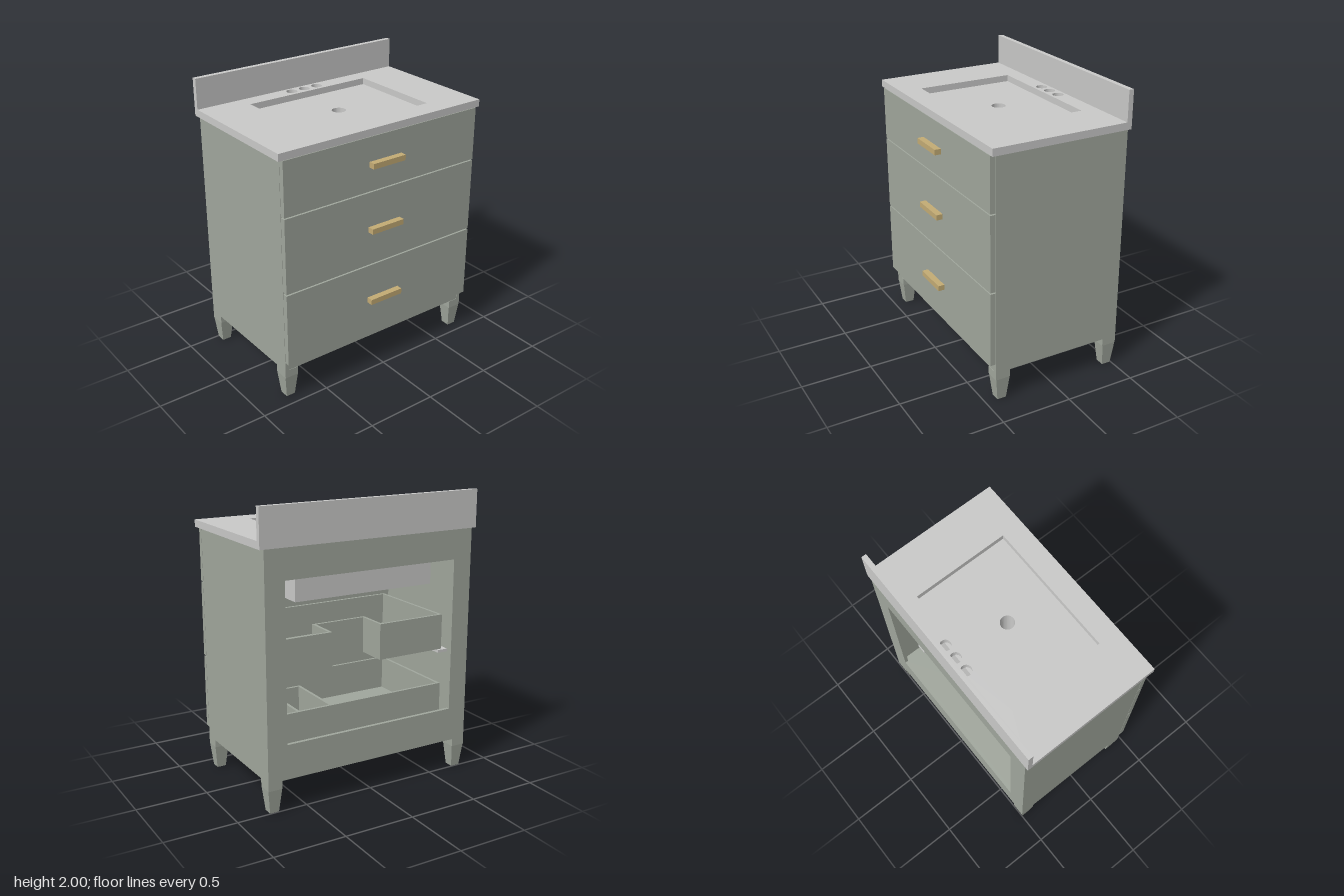
import * as THREE from 'three';

const mat = (name, color) => {
  const m = new THREE.MeshStandardMaterial({ color });
  m.name = name;
  return m;
};

export function createModel() {
  const root = new THREE.Group();
  root.name = 'vanityCabinet';
  const sage = mat('sage paint', 0xa0a69c);
  const stone = mat('grey stone', 0xc9c9c8);
  const brass = mat('brass', 0xc3ab74);

  const add = (name, geometry, material, parent = root) => {
    const mesh = new THREE.Mesh(geometry, material);
    mesh.name = name;
    parent.add(mesh);
    return mesh;
  };
  // Box given by its limits on each axis
  const box = (name, x0, x1, y0, y1, z0, z1, material = sage, parent = root) => {
    const g = new THREE.BoxGeometry(x1 - x0, y1 - y0, z1 - z0);
    g.translate((x0 + x1) / 2, (y0 + y1) / 2, (z0 + z1) / 2);
    return add(name, g, material, parent);
  };
  // Plan outlines are drawn as (x, -z) and raised along y
  const outline = (pts, Type = THREE.Shape) =>
    new Type(pts.map(([x, z]) => new THREE.Vector2(x, -z)));
  const rect = (x, z0, z1, Type) =>
    outline([[-x, z1], [x, z1], [x, z0], [-x, z0]], Type);
  const hole = (x, z, r) => new THREE.Path().absarc(x, -z, r, 0, Math.PI * 2, true);
  const slab = (name, shape, y0, y1, material, parent = root) => {
    const g = new THREE.ExtrudeGeometry(shape, {
      depth: y1 - y0, bevelEnabled: false, curveSegments: 16,
    });
    g.rotateX(-Math.PI / 2);
    g.translate(0, y0, 0);
    return add(name, g, material, parent);
  };

  // Countertop with basin opening and three tap holes
  const top = rect(0.815, -0.52, 0.475);
  top.holes.push(rect(0.478, -0.37, 0.32, THREE.Path));
  for (const x of [-0.105, 0, 0.105]) top.holes.push(hole(x, -0.43, 0.038));
  slab('countertop', top, 1.74, 1.79, stone);
  box('backsplash', -0.815, 0.815, 1.79, 2, -0.52, -0.485, stone);

  // Basin body with drain
  const basin = rect(0.523, -0.415, 0.365);
  basin.holes.push(hole(0, -0.025, 0.048));
  slab('basin', basin, 1.363, 1.745, stone);

  // Carcass
  for (const s of [-1, 1]) {
    const a = s * 0.755, b = s * 0.785;
    box('sidePanel', Math.min(a, b), Math.max(a, b), 0.22, 1.74, -0.515, 0.435);
  }
  box('bottomPanel', -0.755, 0.755, 0.22, 0.25, -0.49, 0.41);
  box('frontRail', -0.755, 0.755, 0.22, 0.285, 0.41, 0.432);

  // Back frame around the plumbing opening
  const frame = new THREE.Shape([
    new THREE.Vector2(-0.755, 0.22), new THREE.Vector2(0.755, 0.22),
    new THREE.Vector2(0.755, 1.74), new THREE.Vector2(-0.755, 1.74),
  ]);
  frame.holes.push(new THREE.Path([
    new THREE.Vector2(-0.645, 0.46), new THREE.Vector2(-0.645, 1.535),
    new THREE.Vector2(0.645, 1.535), new THREE.Vector2(0.645, 0.46),
  ]));
  const frameGeo = new THREE.ExtrudeGeometry(frame, { depth: 0.025, bevelEnabled: false });
  frameGeo.translate(0, 0, -0.515);
  add('backFrame', frameGeo, sage);

  // Drawer fronts and pulls
  for (const [y0, y1, pull] of [[0.29, 0.815, 0.553], [0.825, 1.353, 1.088], [1.362, 1.737, 1.55]]) {
    box('drawerFront', -0.785, 0.785, y0, y1, 0.438, 0.475);
    box('drawerPull', -0.131, 0.131, pull - 0.019, pull + 0.019, 0.475, 0.52, brass);
  }

  // Upper drawer box, notched at the back; t insets the outline by the wall thickness
  const notched = (t, Type) => outline([
    [-0.715 + t, 0.438 - t], [0.715 - t, 0.438 - t], [0.715 - t, -0.31 + t],
    [0.19 + t, -0.31 + t], [0.19 + t, -0.09 + t], [-0.19 - t, -0.09 + t],
    [-0.19 - t, -0.31 + t], [-0.715 + t, -0.31 + t],
  ], Type);
  const upper = new THREE.Group();
  upper.name = 'upperDrawer';
  root.add(upper);
  const upperWalls = notched(0);
  upperWalls.holes.push(notched(0.02, THREE.Path));
  slab('drawerWalls', upperWalls, 0.84, 1.095, sage, upper);
  slab('drawerFloor', notched(0.01), 0.85, 0.865, sage, upper);

  // Lower drawer box with an inner tray
  const lower = new THREE.Group();
  lower.name = 'lowerDrawer';
  root.add(lower);
  const lowerWalls = rect(0.715, -0.31, 0.438);
  lowerWalls.holes.push(rect(0.695, -0.29, 0.418, THREE.Path));
  slab('drawerWalls', lowerWalls, 0.31, 0.58, sage, lower);
  slab('drawerFloor', rect(0.705, -0.3, 0.428), 0.32, 0.335, sage, lower);
  for (const x of [0.17, 0.42])
    box('trayDivider', x - 0.01, x + 0.01, 0.335, 0.56, -0.29, 0.2, sage, lower);
  box('trayEnd', 0.16, 0.43, 0.335, 0.56, 0.19, 0.21, sage, lower);

  // Drawer runners
  for (const y of [0.29, 0.82])
    for (const s of [-1, 1])
      box('drawerRunner', s * 0.715 - 0.04, s * 0.715 + 0.04, y, y + 0.02, -0.33, 0.41, stone);

  // Tapered legs with a square collar
  const taper = new THREE.CylinderGeometry(
    0.1 / Math.SQRT2, 0.065 / Math.SQRT2, 0.165, 4, 1, false, Math.PI / 4).toNonIndexed();
  taper.computeVertexNormals();
  for (const x of [-0.735, 0.735])
    for (const z of [-0.462, 0.382]) {
      const leg = new THREE.Group();
      leg.name = 'leg';
      leg.position.set(x, 0, z);
      root.add(leg);
      box('legCollar', -0.05, 0.05, 0.165, 0.22, -0.053, 0.053, sage, leg);
      add('legTaper', taper, sage, leg).position.y = 0.0825;
    }
  return root;
}
